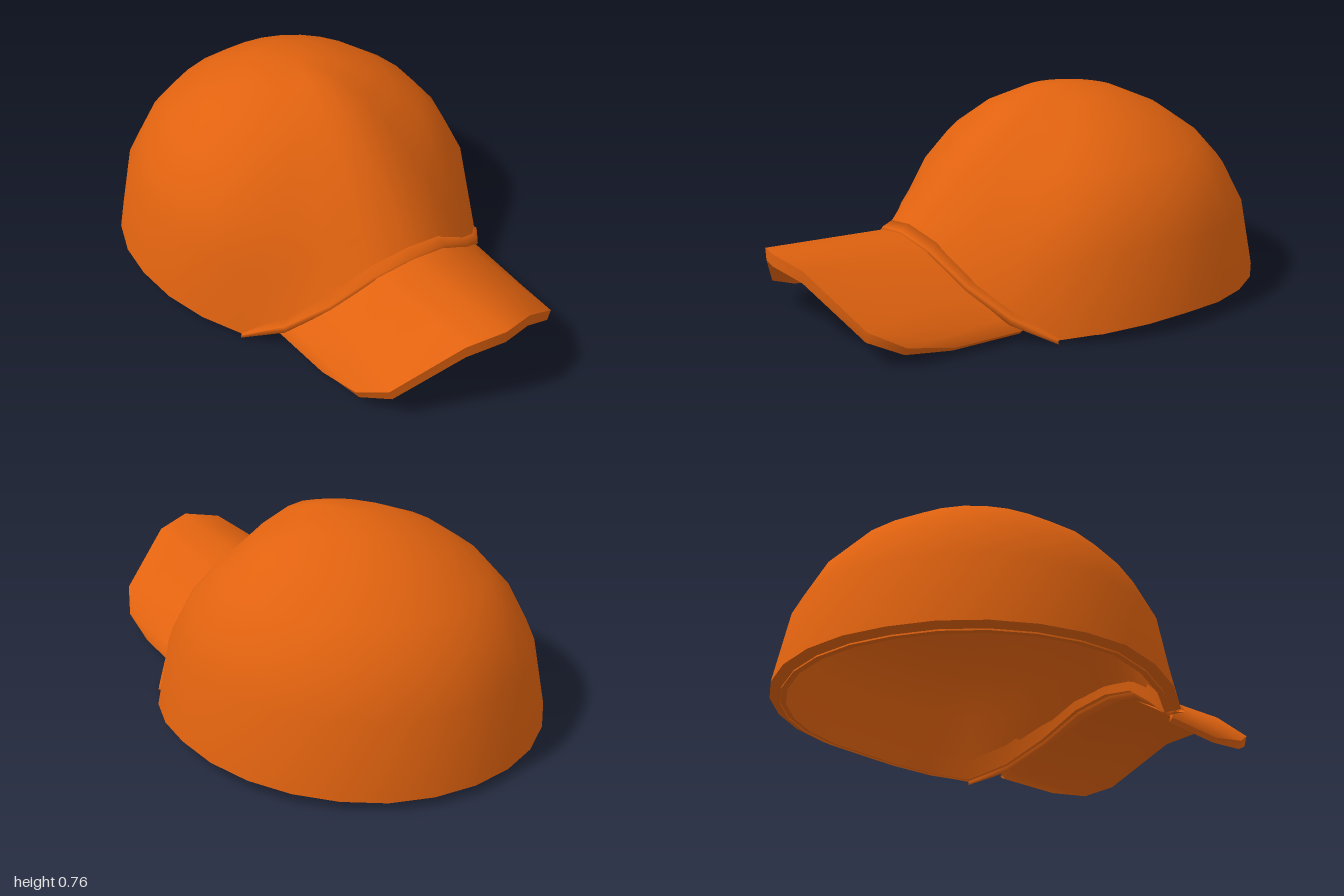
import * as THREE from 'three';
import { mergeVertices } from 'three/addons/utils/BufferGeometryUtils.js';

const SEG = 28, CZ = -0.26, TOP = 0.765;

// Smooth surface through a grid of points; point(i, j) returns [x, y, z].
function grid(ni, nj, point) {
  const pos = [], index = [];
  for (let i = 0; i <= ni; i++) for (let j = 0; j <= nj; j++) pos.push(...point(i, j));
  for (let i = 0; i < ni; i++) for (let j = 0; j < nj; j++) {
    const a = i * (nj + 1) + j, c = a + nj + 1;
    index.push(a, a + 1, c, c, a + 1, c + 1);
  }
  let g = new THREE.BufferGeometry();
  g.setAttribute('position', new THREE.Float32BufferAttribute(pos, 3));
  g.setIndex(index);
  g = mergeVertices(g, 1e-5);
  g.computeVertexNormals();
  return g;
}

// Rim height from the front centre round to the back
const RIM = [0.31, 0.28, 0.18, 0.085, 0.01, 0.03, 0.045, 0.055, 0.05, 0.045, 0.04, 0.035, 0.03, 0.03, 0.03];
const rimY = (i) => RIM[Math.min(Math.abs(i), SEG - Math.abs(i))];

// Meridians as [radius share, drop share], round at the back and straighter in front
const ROUND = [[0, 0], [0.26, 0.045], [0.49, 0.145], [0.69, 0.285], [0.82, 0.43], [0.93, 0.64], [1, 1]];
const FRONT = [[0, 0], [0.22, 0.03], [0.43, 0.146], [0.62, 0.37], [0.76, 0.57], [0.88, 0.78], [1, 1]];

// Point at angle step i and radius share r
const around = (i, r, y) => {
  const a = (i / SEG) * Math.PI * 2;
  return [0.7 * r * Math.sin(a), y, CZ + 0.74 * r * Math.cos(a)];
};

function domePoint(i, j, scale, top, rim) {
  const w = THREE.MathUtils.smoothstep(Math.cos((i / SEG) * Math.PI * 2), 0.5, 1);
  const r = THREE.MathUtils.lerp(ROUND[j][0], FRONT[j][0], w);
  const d = THREE.MathUtils.lerp(ROUND[j][1], FRONT[j][1], w);
  return around(i, r * scale, top + (rim - top) * d);
}

const innerRim = (i) => Math.max(0, rimY(i) - 0.018);

export function createModel() {
  const cap = new THREE.Group();
  cap.name = 'cap';
  const orange = new THREE.MeshStandardMaterial({ color: 0xe0620f, side: THREE.DoubleSide });
  orange.name = 'orange cloth';
  const add = (parent, name, geometry) => {
    const mesh = new THREE.Mesh(geometry, orange);
    mesh.name = name;
    parent.add(mesh);
  };

  // Crown: outer shell, lining, rim and sweatband
  const crown = new THREE.Group();
  crown.name = 'crown';
  cap.add(crown);
  add(crown, 'crownShell', grid(SEG, 6, (i, j) => domePoint(i, j, 1, TOP, rimY(i))));
  add(crown, 'lining', grid(SEG, 6, (i, j) => domePoint(SEG - i, j, 0.95, TOP - 0.035, innerRim(SEG - i))));
  add(crown, 'rim', grid(SEG, 1, (i, j) => around(i, j ? 0.92 : 1, j ? innerRim(i) : rimY(i))));
  add(crown, 'sweatband', grid(SEG, 1, (i, j) =>
    around(SEG - i, j ? 0.92 : 0.9, innerRim(SEG - i) + (j ? 0 : 0.075))));

  // Piping along the raised front rim, thinning out towards both ends
  const PIPE = [[0.95, -0.035], [0.975, 0.025], [1.025, 0.005], [1.03, -0.02], [0.95, -0.035]];
  add(cap, 'piping', grid(8, 4, (k, j) => {
    const i = k - 4, f = Math.abs(i) === 4 ? 0.5 : 1;
    return around(i, 1 + (PIPE[j][0] - 1) * f, Math.max(0, rimY(i) + PIPE[j][1] * f));
  }));

  // Brim: columns from the centre ridge outwards, [x, y, z] at root and tip, then thickness
  const COLUMNS = [
    [[0, 0.305, 0.46], [0, 0.335, 1], 0.045],
    [[0.15, 0.275, 0.44], [0.14, 0.308, 0.96], 0.045],
    [[0.31, 0.17, 0.37], [0.36, 0.135, 0.845], 0.04],
    [[0.425, 0.085, 0.31], [0.415, 0.07, 0.73], 0.03],
    [[0.445, 0.03, 0.28], [0.43, 0.03, 0.55], 0.015],
  ];
  const brimPoint = (k, t, under) => {
    const side = Math.sign(k), [root, tip, thick] = COLUMNS[Math.abs(k)];
    const [x, y, z] = root.map((v, n) => THREE.MathUtils.lerp(v, tip[n], t));
    return [side * x * (under ? 0.965 : 1), y - (under ? thick : 0), z];
  };
  const brim = new THREE.Group();
  brim.name = 'brim';
  cap.add(brim);
  add(brim, 'brimTop', grid(8, 4, (i, j) => brimPoint(i - 4, j / 4, false)));
  add(brim, 'brimEdge', grid(8, 1, (i, j) => brimPoint(i - 4, 1, j === 1)));
  add(brim, 'brimUnderside', grid(8, 4, (i, j) => brimPoint(i - 4, 1 - j / 4, true)));
  for (const s of [-1, 1]) {
    add(brim, s > 0 ? 'leftBrimSide' : 'rightBrimSide',
      grid(1, 1, (i, j) => brimPoint(4 * s, s > 0 ? 1 - i : i, j === 1)));
  }
  return cap;
}
